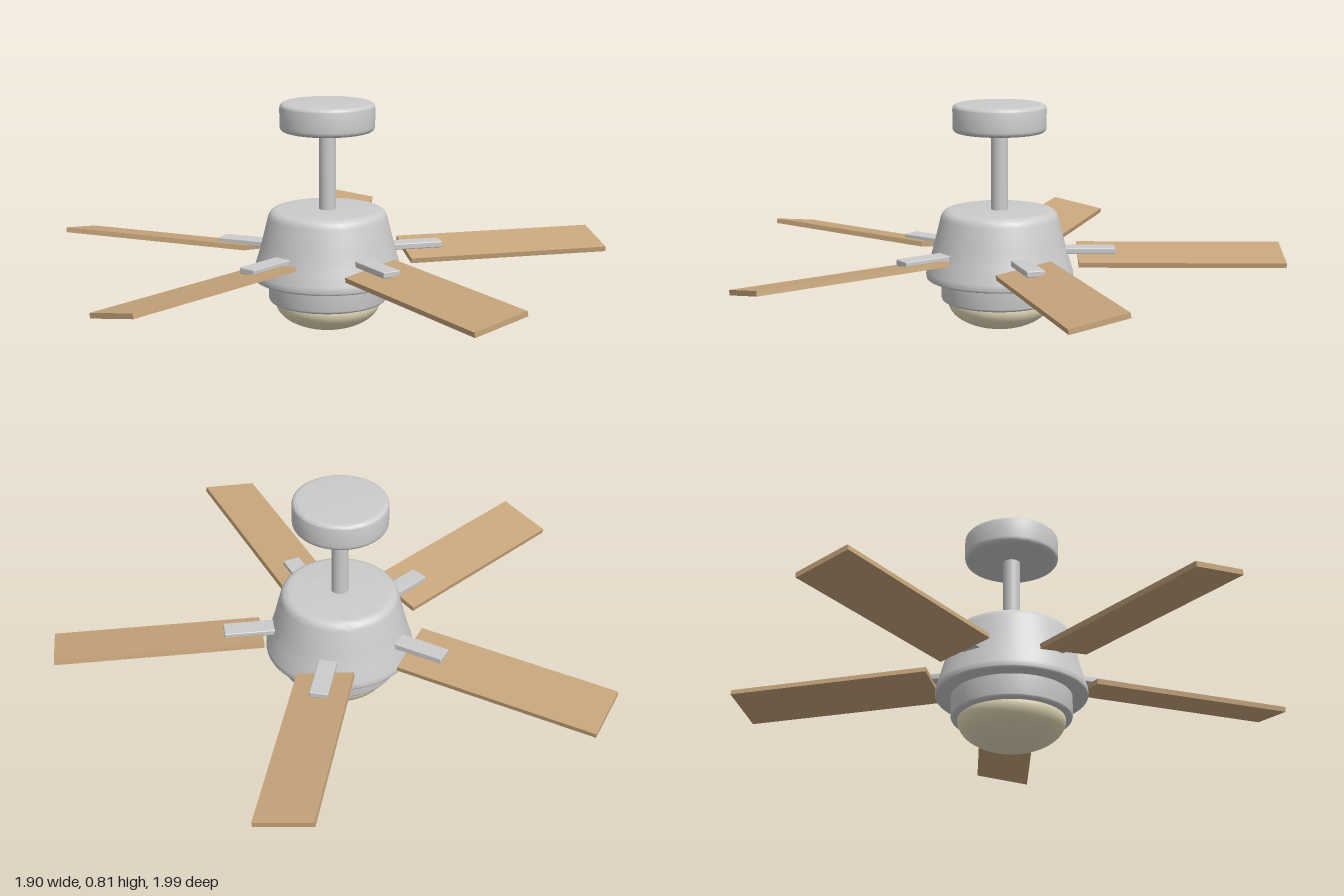
import * as THREE from 'three';
import { toCreasedNormals } from 'three/addons/utils/BufferGeometryUtils.js';
import { RoundedBoxGeometry } from 'three/addons/geometries/RoundedBoxGeometry.js';

const grey = new THREE.MeshStandardMaterial({ color: 0xcccccc });
const wood = new THREE.MeshStandardMaterial({ color: 0xc8a67c });
const glass = new THREE.MeshStandardMaterial({ color: 0xeadfbe });

function part(parent, name, geometry, material) {
  const mesh = new THREE.Mesh(geometry, material);
  mesh.name = name;
  parent.add(mesh);
  return mesh;
}

// Turned solid: corners are [radius, height, rounding], listed bottom to top
function turned(corners) {
  const pts = [];
  corners.forEach(([r, y, round = 0], i) => {
    const p = new THREE.Vector2(r, y);
    if (!round) { pts.push(p); return; }
    const toward = (q) => p.clone().add(new THREE.Vector2(q[0], q[1]).sub(p).setLength(round));
    const curve = new THREE.QuadraticBezierCurve(toward(corners[i - 1]), p, toward(corners[i + 1]));
    pts.push(...curve.getPoints(6));
  });
  return toCreasedNormals(new THREE.LatheGeometry(pts, 64), 0.6);
}

export function createModel() {
  const fan = new THREE.Group();
  fan.name = 'ceilingFan';
  const hub = new THREE.Group();
  hub.name = 'fanAssembly';
  hub.position.x = -0.07;
  fan.add(hub);

  // Ceiling mount and rod
  part(hub, 'canopy', turned([[0, 0.71], [0.167, 0.71, 0.02], [0.167, 0.81, 0.02], [0, 0.81]]), grey);
  part(hub, 'downrod', new THREE.CylinderGeometry(0.03, 0.03, 0.31, 32), grey).position.y = 0.57;

  // Flared motor housing with a small lip
  part(hub, 'motorHousing', turned([
    [0, 0.184], [0.264, 0.184, 0.008], [0.265, 0.205, 0.008], [0.239, 0.29, 0.03],
    [0.204, 0.432, 0.03], [0, 0.432],
  ]), grey);

  // Light kit: fitter ring and glass bowl
  part(hub, 'lightFitter', turned([[0, 0.102], [0.21, 0.102, 0.015], [0.21, 0.19], [0, 0.19]]), grey);
  const bowl = new THREE.SphereGeometry(0.186, 48, 20, 0, Math.PI * 2, Math.PI / 2, Math.PI / 2);
  bowl.scale(1, 0.52, 1);
  part(hub, 'glassBowl', bowl, glass).position.y = 0.097;
  part(hub, 'glassBowlRim', new THREE.CylinderGeometry(0.186, 0.186, 0.01, 48, 1, true), glass).position.y = 0.102;

  // Five pitched blades on flat brackets
  for (let i = 0; i < 5; i++) {
    const arm = new THREE.Group();
    arm.name = 'bladeArm' + (i + 1);
    arm.rotation.y = (i * Math.PI * 2) / 5;
    hub.add(arm);
    const blade = part(arm, 'blade', new THREE.BoxGeometry(0.735, 0.018, 0.203), wood);
    blade.position.set(0.648, 0.267, 0);
    blade.rotation.x = 0.18;
    const bracket = part(arm, 'bladeBracket', new RoundedBoxGeometry(0.215, 0.022, 0.066, 2, 0.004), grey);
    bracket.position.set(0.308, 0.285, 0);
  }
  return fan;
}
